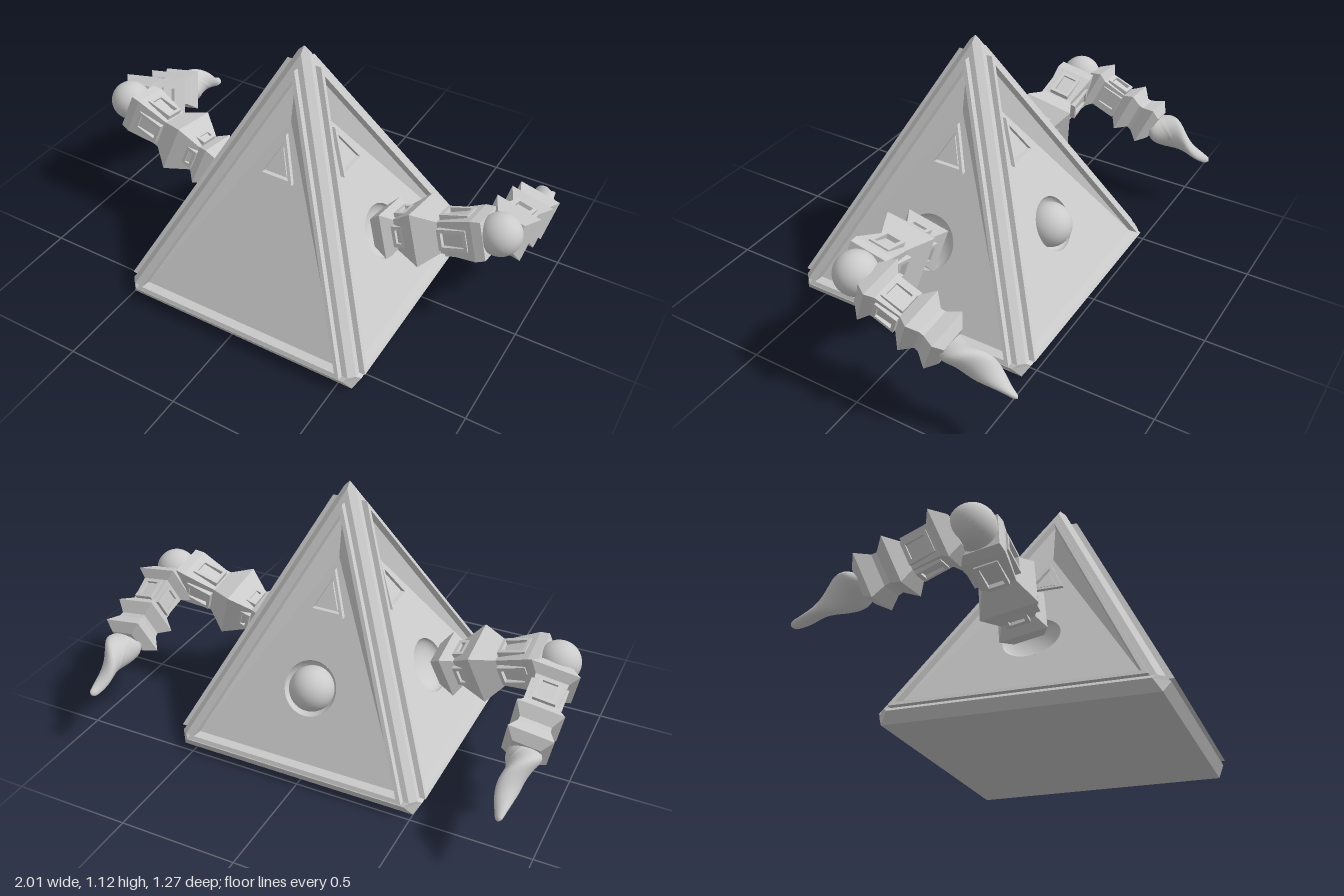
import * as THREE from 'three';

const V = (x, y, z) => new THREE.Vector3(x, y, z);
const flat = new THREE.MeshStandardMaterial({ color: 0xcccccc, flatShading: true, side: THREE.DoubleSide });
const smooth = new THREE.MeshStandardMaterial({ color: 0xcccccc, side: THREE.DoubleSide });

function add(parent, name, geometry, material = flat) {
  const mesh = new THREE.Mesh(geometry, material);
  mesh.name = name;
  parent.add(mesh);
  return mesh;
}

// Flat-shaded surface from convex polygons
function polygons(list) {
  const pts = [];
  for (const p of list) {
    for (let i = 1; i < p.length - 1; i++) pts.push(p[0], p[i], p[i + 1]);
  }
  const g = new THREE.BufferGeometry().setFromPoints(pts);
  g.computeVertexNormals();
  return g;
}

// Quads joining two loops of equal length
const bridge = (a, b) => a.map((p, i) => {
  const j = (i + 1) % a.length;
  return [p, a[j], b[j], b[i]];
});

// Distance of the sloped outer wall from the pyramid axis
const wall = y => 0.565 - 0.5 * (y - 0.06);

// Triangular loop lying on a wall, sunk by depth
function ring(bottom, top, depth) {
  const w = 0.5 * (top - bottom), z = wall(bottom) - depth;
  return [V(-w, bottom, z), V(w, bottom, z), V(0, top, wall(top) - depth)];
}

const PANEL = ring(0.083, 0.99, 0.03);
const CENTRE = V(0, 0.82, wall(0.82) - 0.085);
const panelZ = y => THREE.MathUtils.lerp(PANEL[0].z, CENTRE.z, (y - 0.083) / (0.82 - 0.083));
const PANEL_TILT = Math.atan((PANEL[0].z - CENTRE.z) / (0.82 - 0.083));

// Lay a geometry drawn in x, y onto the sloped panel
function layOnPanel(g) {
  const p = g.attributes.position;
  for (let i = 0; i < p.count; i++) p.setZ(i, p.getZ(i) + panelZ(p.getY(i)));
  g.computeVertexNormals();
  return g;
}

function triangle(half, bottom, top) {
  return new THREE.Shape([[-half, bottom], [half, bottom], [0, top]].map(c => new THREE.Vector2(...c)));
}

function makeSide(name, socket) {
  const side = new THREE.Group();
  side.name = name;
  // Raised border and sunken panel slopes
  const rings = [ring(0.06, 1.09, 0.025), ring(0.06, 1.04, 0.025), ring(0.06, 1.04, 0), ring(0.075, 1.005, 0), PANEL];
  const faces = [];
  for (let i = 0; i < rings.length - 1; i++) faces.push(...bridge(rings[i], rings[i + 1]));
  const [bl, br, top] = PANEL;
  faces.push([br, top, CENTRE], [top, bl, CENTRE]);
  add(side, 'border', polygons(faces));

  // Main panel, with a round opening where there is a socket
  const panel = new THREE.Shape([bl, br, CENTRE].map(p => new THREE.Vector2(p.x, p.y)));
  if (socket) panel.holes.push(new THREE.Path().absellipse(0, 0.345, 0.115, 0.1, 0, Math.PI * 2));
  add(side, 'panel', layOnPanel(new THREE.ShapeGeometry(panel, 24)));

  // Small framed triangle
  const frame = triangle(0.08, 0.62, 0.78);
  frame.holes.push(triangle(0.06, 0.632, 0.752));
  add(side, 'triangleFrame', layOnPanel(new THREE.ExtrudeGeometry(frame, { depth: 0.018, bevelEnabled: false })));
  add(side, 'triangleInset', layOnPanel(new THREE.ExtrudeGeometry(triangle(0.046, 0.64, 0.732), { depth: 0.01, bevelEnabled: false })));

  // Socket bowl, with a ball at the back
  if (socket) {
    const seat = new THREE.Group();
    seat.name = 'socket';
    seat.position.set(0, 0.345, panelZ(0.345));
    seat.rotation.x = -PANEL_TILT;
    side.add(seat);
    const bowl = new THREE.SphereGeometry(0.1155, 32, 10, 0, Math.PI * 2, Math.PI / 2, Math.PI / 2);
    bowl.rotateX(Math.PI / 2);
    bowl.scale(1, 1, 0.5);
    add(seat, 'bowl', bowl, smooth);
    if (socket === 'ball') add(seat, 'ball', new THREE.SphereGeometry(0.095, 32, 20), smooth).position.z = -0.02;
  }

  // Chamfered ridge at the right-hand corner of this side
  add(side, 'ridge', polygons([[V(0.515, 0.06, 0.54), V(0.54, 0.06, 0.515), V(0.025, 1.09, 0), V(0, 1.115, 0), V(0, 1.09, 0.025)]]));
  return side;
}

function octagon(y, a, b) {
  return [[b, a], [a, b], [a, -b], [b, -a], [-b, -a], [-a, -b], [-a, b], [-b, a]].map(([x, z]) => V(x, y, z));
}

// Square-section limb from [distance, half width] pairs
function squareLimb(profile, roll) {
  const pts = profile.map(([t, w]) => new THREE.Vector2(w * Math.SQRT2, t));
  pts.unshift(new THREE.Vector2(0, pts[0].y));
  pts.push(new THREE.Vector2(0, pts[pts.length - 1].y));
  return new THREE.LatheGeometry(pts, 4).rotateY(Math.PI / 4 + roll);
}

// Group whose local y runs along a direction
function along(name, dir) {
  const g = new THREE.Group();
  g.name = name;
  const y = dir.clone().normalize();
  const x = y.clone().cross(V(0, 1, 0)).normalize();
  g.quaternion.setFromRotationMatrix(new THREE.Matrix4().makeBasis(x, y, x.clone().cross(y)));
  return g;
}

// Rectangular window frames around the four faces of a limb
function windows(parent, t, length, distance, roll) {
  const rect = (w, h) => new THREE.Shape([[-w, -h], [w, -h], [w, h], [-w, h]].map(c => new THREE.Vector2(...c)));
  const shape = rect(0.045, length / 2);
  shape.holes.push(rect(0.03, length / 2 - 0.014));
  for (let i = 0; i < 4; i++) {
    const g = new THREE.ExtrudeGeometry(shape, { depth: 0.025, bevelEnabled: false });
    g.translate(0, t, distance - 0.012).rotateY(roll + i * Math.PI / 2);
    add(parent, 'windowFrame', g);
  }
}

// Twisted, tapering claw
function clawGeometry() {
  const profile = [[0.42, 0], [0.42, 0.055], [0.46, 0.069], [0.51, 0.065], [0.57, 0.052], [0.63, 0.036], [0.69, 0.022], [0.722, 0.014], [0.733, 0]];
  const curve = new THREE.SplineCurve(profile.slice(1).map(([t, r]) => new THREE.Vector2(r, t)));
  const pts = [new THREE.Vector2(0, 0.42), ...curve.getPoints(28)];
  const g = new THREE.LatheGeometry(pts, 24);
  const p = g.attributes.position;
  for (let i = 0; i < p.count; i++) {
    const y = p.getY(i), s = (y - 0.42) / 0.313, a = 4 * s;
    const x = p.getX(i) * 1.1, z = p.getZ(i) * 0.72;
    const sway = 0.012 * Math.sin(s * Math.PI);
    p.setXYZ(i, x * Math.cos(a) - z * Math.sin(a) + sway * Math.cos(a), y, x * Math.sin(a) + z * Math.cos(a) + sway * Math.sin(a));
  }
  g.computeVertexNormals();
  return g;
}

function makeArm(name) {
  const arm = new THREE.Group();
  arm.name = name;
  const joint = new THREE.Group();
  joint.name = 'elbow';
  joint.position.set(0.89, 0.53, 0.042);
  arm.add(joint);
  add(joint, 'elbowBall', new THREE.SphereGeometry(0.087, 32, 20), smooth);

  // Upper arm runs inward to the socket
  const roll = 0.2;
  const upper = along('upperArm', V(-0.51, -0.17, 0.025));
  joint.add(upper);
  add(upper, 'upperArmBody', squareLimb([[0.04, 0.08], [0.08, 0.085], [0.23, 0.066], [0.32, 0.112], [0.42, 0.066], [0.465, 0.095], [0.53, 0.06]], roll));
  windows(upper, 0.165, 0.12, 0.076, roll);
  windows(upper, 0.4, 0.05, 0.073, roll);

  // Forearm runs backward and down to the claw
  const fore = along('forearm', V(0, -0.275, -0.68));
  joint.add(fore);
  add(fore, 'forearmBody', squareLimb([[0.05, 0.06], [0.1, 0.097], [0.13, 0.066], [0.24, 0.058], [0.285, 0.094], [0.33, 0.062], [0.35, 0.064], [0.4, 0.09], [0.435, 0.055]], roll));
  windows(fore, 0.19, 0.1, 0.062, roll);
  add(fore, 'claw', clawGeometry(), smooth);
  return arm;
}

export function createModel() {
  const model = new THREE.Group();
  model.name = 'pyramidWithArms';

  const pyramid = new THREE.Group();
  pyramid.name = 'pyramid';
  pyramid.position.set(0.03, 0, 0.064);
  model.add(pyramid);
  const sides = [['frontSide', null], ['leftSide', 'bowl'], ['backSide', 'ball'], ['rightSide', 'bowl']];
  sides.forEach(([name, socket], i) => {
    const side = makeSide(name, socket);
    side.rotation.y = i * Math.PI / 2;
    pyramid.add(side);
  });

  // Base slab, narrowing to a square underneath
  const foot = octagon(0, 0.53, 0.53), edge = octagon(0.045, 0.555, 0.5), lip = octagon(0.06, 0.54, 0.515);
  add(pyramid, 'baseSlab', polygons([...bridge(foot, edge), ...bridge(edge, lip), [...foot].reverse()]));

  // Mirrored arms
  const leftArm = makeArm('leftArm');
  const rightArm = makeArm('rightArm');
  rightArm.scale.x = -1;
  model.add(leftArm, rightArm);
  return model;
}
